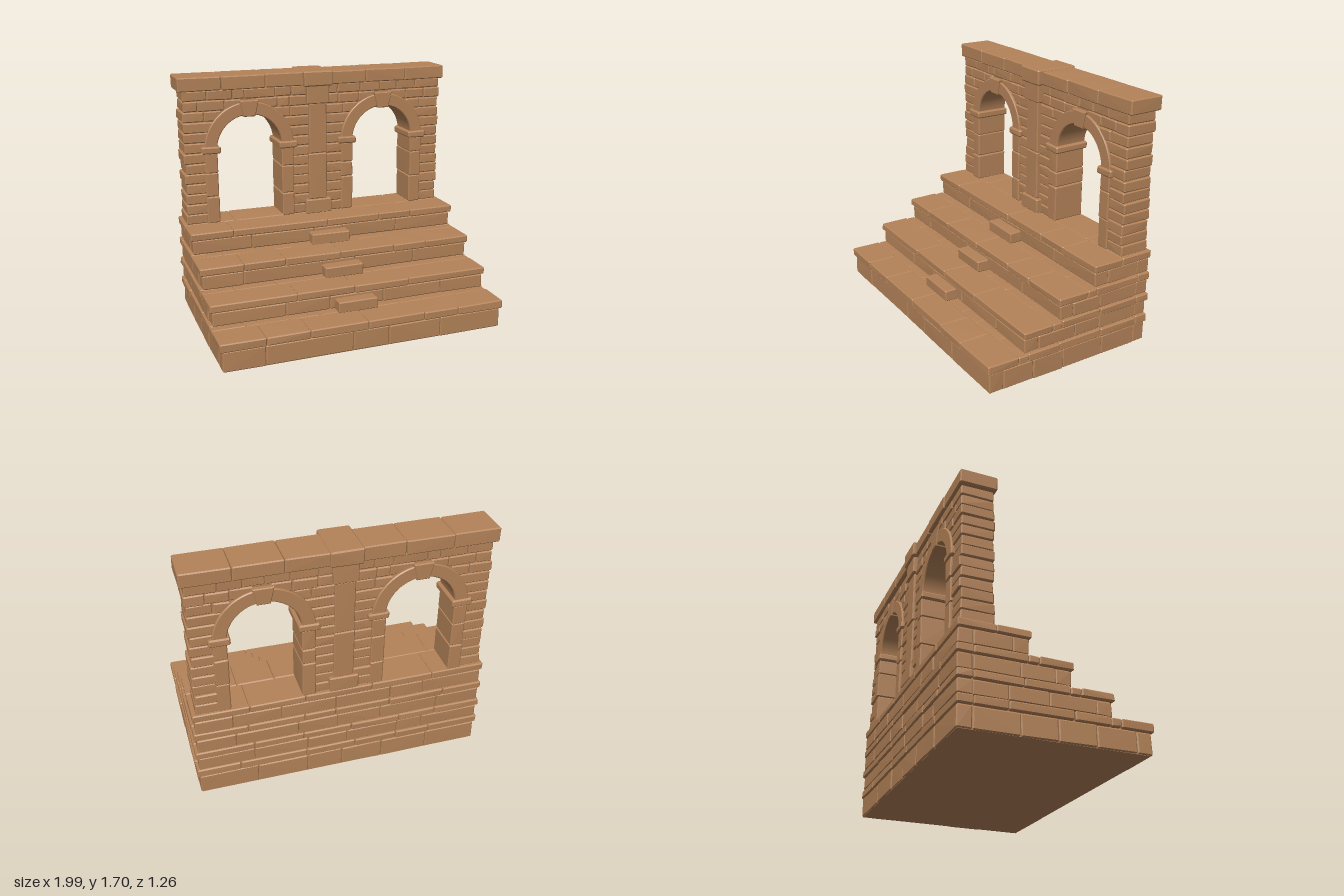
import * as THREE from 'three';
import { mergeGeometries, toCreasedNormals } from 'three/addons/utils/BufferGeometryUtils.js';
import { ConvexGeometry } from 'three/addons/geometries/ConvexGeometry.js';

const sandstone = new THREE.MeshStandardMaterial({ color: 0xb48359 });
sandstone.name = 'sandstone';

let seed = 7;
const rand = () => {
  seed = (seed * 16807) % 2147483647;
  return seed / 2147483647;
};
const jitter = (a) => (rand() - 0.5) * 2 * a;

// Chamfered, slightly uneven stone block filling the given ranges
function block(x0, x1, y0, y1, z0, z1, bevel = 0.007, wobble = 0.002) {
  const pts = [];
  for (const i of [0, 1]) for (const j of [0, 1]) for (const k of [0, 1]) {
    const c = [i ? x1 : x0, j ? y1 : y0, k ? z1 : z0].map((v) => v + jitter(wobble));
    const inward = [i ? -1 : 1, j ? -1 : 1, k ? -1 : 1];
    // three points per corner, each touching one face
    for (let face = 0; face < 3; face++) {
      pts.push(new THREE.Vector3(...c.map((v, a) => (a === face ? v : v + inward[a] * bevel))));
    }
  }
  return new ConvexGeometry(pts);
}

// Random joint positions between a and b
function joints(a, b, length) {
  const n = Math.max(1, Math.round((b - a) / length));
  const out = [a];
  for (let i = 1; i < n; i++) out.push(a + ((b - a) * (i + jitter(0.28))) / n);
  out.push(b);
  return out;
}

// Row of blocks along x or z, split at the given cuts
function row(list, axis, cuts, y0, y1, c0, c1, uneven = 0.003) {
  const gap = 0.0015;
  for (let i = 0; i < cuts.length - 1; i++) {
    const a = cuts[i] + gap, b = cuts[i + 1] - gap;
    const d0 = c0 + jitter(uneven), d1 = c1 + jitter(uneven);
    list.push(axis === 'x'
      ? block(a, b, y0 + gap, y1 - gap, d0, d1)
      : block(d0, d1, y0 + gap, y1 - gap, a, b));
  }
}

function createModel() {
  const model = new THREE.Group();
  model.name = 'arcadeOnSteps';
  const add = (name, geometry, parent = model) => {
    const mesh = new THREE.Mesh(geometry, sandstone);
    mesh.name = name;
    parent.add(mesh);
    return mesh;
  };
  const addBlocks = (name, list, parent) => add(name, mergeGeometries(list), parent);
  const addBox = (name, x0, x1, y0, y1, z0, z1, parent) =>
    add(name, new THREE.BoxGeometry(x1 - x0, y1 - y0, z1 - z0), parent)
      .position.set((x0 + x1) / 2, (y0 + y1) / 2, (z0 + z1) / 2);

  // Stepped base: each level is a riser course topped by overhanging slabs
  const BACK = -0.612;
  const levels = [
    { y: 0, slab: 0.14, top: 0.2, z: 0.625, cuts: [-0.69, -0.4, 0, 0.4, 0.65] },
    { y: 0.2, slab: 0.295, top: 0.35, z: 0.37, cuts: [-0.4, 0, 0.4] },
    { y: 0.35, slab: 0.45, top: 0.505, z: 0.11, cuts: [-0.69, -0.4, 0, 0.4, 0.65] },
    { y: 0.505, slab: 0.605, top: 0.66, z: -0.155, cuts: [-0.69, 0, 0.4, 0.65] },
  ];
  levels.forEach((L, i) => {
    const step = new THREE.Group();
    step.name = `step${i + 1}`;
    model.add(step);
    const front = L.z - 0.012;
    addBox('stepCore', -0.965, 0.965, L.y, L.top - 0.008, BACK + 0.015, front - 0.01, step);

    // Riser bricks on all four sides
    const riser = [];
    row(riser, 'x', joints(-0.975, 0.975, 0.37), L.y, L.slab, front - 0.1, front);
    row(riser, 'x', joints(-0.975, 0.975, 0.33), L.y, L.slab, BACK + 0.006, BACK + 0.1);
    for (const s of [-1, 1]) {
      const c = [s * 0.875, s * 0.978].sort((a, b) => a - b);
      row(riser, 'z', joints(BACK + 0.1, front - 0.1, 0.25), L.y, L.slab, c[0], c[1]);
    }
    addBlocks('riserBricks', riser, step);

    // Tread slabs, the narrow row behind them, and the side and back edging
    const slabs = [];
    const mid = L.z - 0.215;
    row(slabs, 'x', [-0.99, ...L.cuts, 0.99], L.slab, L.top, mid, L.z);
    if (i < 3) {
      row(slabs, 'x', joints(-0.99, 0.99, 0.26), L.slab, L.top - 0.003, mid - 0.07, mid - 0.002);
      row(slabs, 'x', joints(-0.99, 0.99, 0.36), L.slab, L.top, BACK, BACK + 0.1);
      for (const s of [-1, 1]) {
        const c = [s * 0.88, s * 0.99].sort((a, b) => a - b);
        row(slabs, 'z', joints(BACK + 0.1, mid - 0.07, 0.28), L.slab, L.top, c[0], c[1]);
      }
    } else {
      row(slabs, 'x', [-0.99, -0.62, -0.2, 0.25, 0.62, 0.99], L.slab, L.top, BACK, mid - 0.002);
    }
    addBlocks('treadSlabs', slabs, step);

    // Small projecting block in the middle of each upper riser
    if (i > 0) {
      add('middleBlock', block(-0.14, 0.14, L.y - 0.005, L.y + 0.075, L.z - 0.06, L.z + 0.07), step);
    }
  });

  // Wall core with two arched openings
  const FLOOR = 0.655, SPRING = 1.18, CX = 0.502, R = 0.235;
  const wall = new THREE.Group();
  wall.name = 'arcadeWall';
  model.add(wall);
  const outline = new THREE.Shape();
  outline.moveTo(-0.95, FLOOR);
  for (const cx of [-CX, CX]) {
    const r = R + 0.02;
    outline.lineTo(cx - r, FLOOR).lineTo(cx - r, SPRING);
    outline.absarc(cx, SPRING, r, Math.PI, 0, true);
    outline.lineTo(cx + r, FLOOR);
  }
  outline.lineTo(0.95, FLOOR).lineTo(0.95, 1.6).lineTo(-0.95, 1.6);
  const coreGeo = new THREE.ExtrudeGeometry(outline, { depth: 0.19, bevelEnabled: false, curveSegments: 24 });
  coreGeo.translate(0, 0, -0.58);
  add('wallCore', coreGeo, wall);

  // Brick courses, kept clear of the arches
  const bricks = [];
  const rows = 13, h = (1.595 - FLOOR) / rows;
  for (let k = 0; k < rows; k++) {
    const y0 = FLOOR + k * h, y1 = y0 + h;
    const up = Math.max(0, y0 - SPRING), reach = R + 0.04;
    const w = up < reach ? Math.sqrt(reach * reach - up * up) : 0;
    for (const s of [-1, 1]) {
      const spans = w ? [[0.03, CX - w], [CX + w, 0.962 + jitter(0.008)]] : [[0.03, 0.962]];
      for (const [a, b] of spans) {
        const cuts = joints(a, b, 0.16).map((v) => v * s).sort((p, q) => p - q);
        row(bricks, 'x', cuts, y0, y1, -0.59, -0.377, 0.006);
      }
    }
  }
  addBlocks('wallBricks', bricks, wall);

  // Arch surrounds: jambs, imposts, curved bands and keystones
  const Z0 = -0.603, Z1 = -0.365;
  const extrude = (shape, z0, z1) => {
    const b = 0.006;
    const g = new THREE.ExtrudeGeometry(shape, {
      depth: z1 - z0 - 2 * b, bevelEnabled: true, bevelThickness: b,
      bevelSize: b, bevelOffset: -b, bevelSegments: 1, curveSegments: 14,
    });
    g.translate(0, 0, z0 + b);
    return toCreasedNormals(g, 0.4);
  };
  for (const cx of [-CX, CX]) {
    const arch = new THREE.Group();
    arch.name = cx < 0 ? 'rightArch' : 'leftArch';
    wall.add(arch);
    for (const s of [-1, 1]) {
      const span = (a, b) => [cx + s * a, cx + s * b].sort((p, q) => p - q);
      const [j0, j1] = span(R - 0.004, 0.32);
      const levelsY = [FLOOR, 0.86 + jitter(0.05), 1.03 + jitter(0.04), 1.16];
      const jamb = [];
      for (let i = 0; i < 3; i++) {
        jamb.push(block(j0, j1, levelsY[i] + 0.001, levelsY[i + 1] - 0.001, Z0 + jitter(0.003), Z1 + jitter(0.003)));
      }
      addBlocks('jamb', jamb, arch);
      const [i0, i1] = span(0.21, 0.347);
      add('impost', block(i0, i1, 1.155, 1.205, -0.612, -0.35, 0.009), arch);
      const a0 = s > 0 ? 0 : Math.PI / 2 + 0.1, a1 = s > 0 ? Math.PI / 2 - 0.1 : Math.PI;
      const band = new THREE.Shape();
      band.absarc(cx, SPRING, 0.322, a0, a1, false);
      band.absarc(cx, SPRING, R - 0.002, a1, a0, true);
      band.closePath();
      add('archBand', extrude(band, Z0, Z1), arch);
    }
    const key = new THREE.Shape([[-0.042, 1.4], [0.042, 1.4], [0.068, 1.512], [-0.068, 1.512]]
      .map(([x, y]) => new THREE.Vector2(cx + x, y)));
    add('keystone', extrude(key, -0.61, -0.352), arch);
  }

  // Central pilaster running through to the back
  const pilaster = new THREE.Group();
  pilaster.name = 'pilaster';
  wall.add(pilaster);
  add('pilasterBase', block(-0.1, 0.095, FLOOR, 0.76, -0.612, -0.335), pilaster);
  addBlocks('pilasterShaft', [
    block(-0.07, 0.063, 0.758, 1.1, -0.6, -0.352),
    block(-0.068, 0.063, 1.102, 1.465, -0.602, -0.35),
  ], pilaster);
  add('pilasterCapital', block(-0.085, 0.08, 1.462, 1.595, -0.615, -0.337), pilaster);

  // Coping stones with a projecting middle piece
  const coping = [];
  row(coping, 'x', [-0.992, -0.69, -0.38, -0.1], 1.59, 1.688, -0.612, -0.363);
  row(coping, 'x', [0.09, 0.37, 0.68, 0.99], 1.59, 1.685, -0.612, -0.363);
  coping.push(block(-0.11, 0.1, 1.588, 1.693, -0.63, -0.322, 0.009));
  addBlocks('coping', coping, wall);

  return model;
}

export { createModel };
